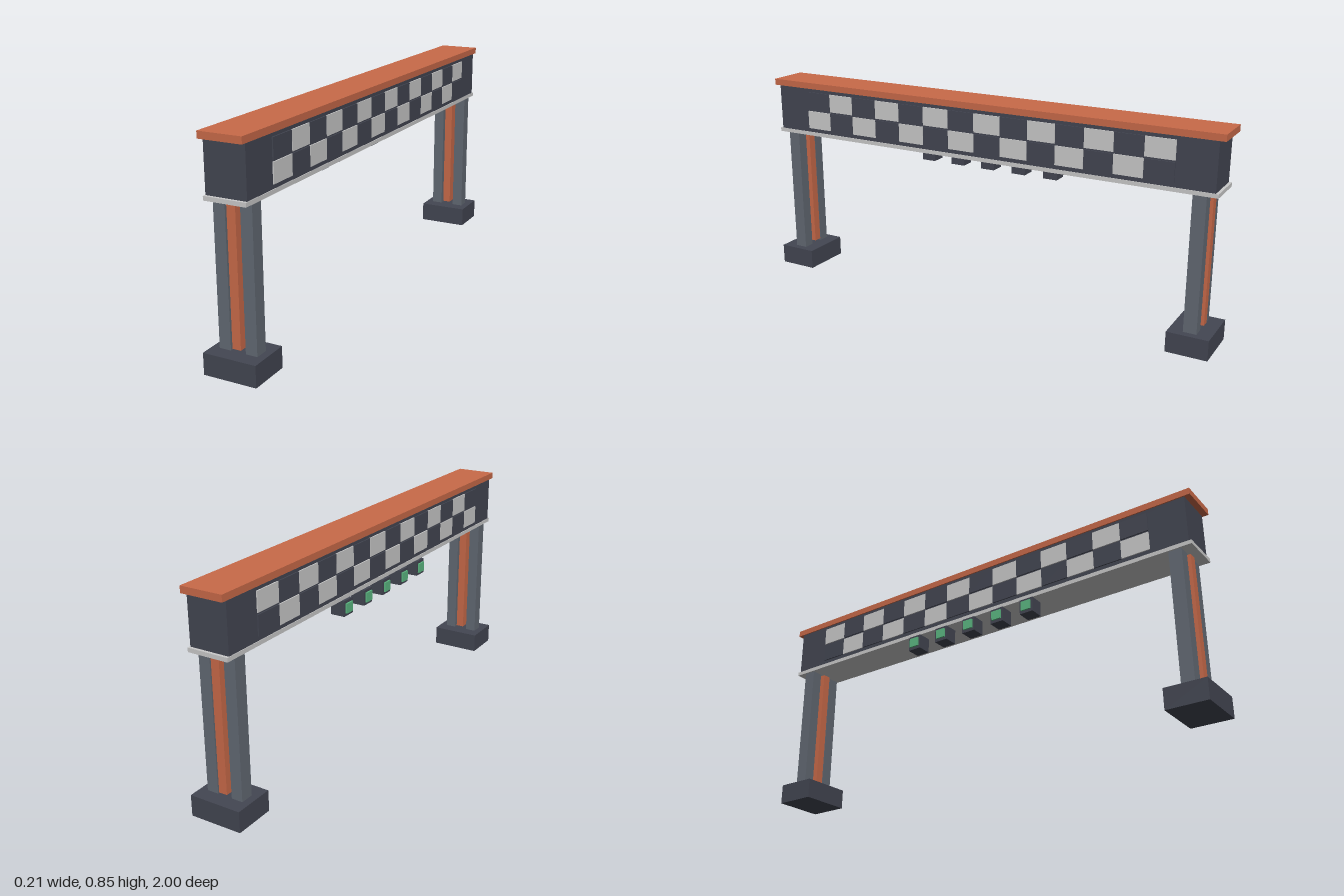
import * as THREE from 'three';

const material = (name, color) => {
  const m = new THREE.MeshStandardMaterial({ color });
  m.name = name;
  return m;
};

export function createModel() {
  const dark = material('charcoal', 0x434652);
  const steel = material('steel grey', 0x626973);
  const orange = material('burnt orange', 0xc96a49);
  const white = material('off white', 0xcacaca);
  const green = material('signal green', 0x5cb882);

  const model = new THREE.Group();
  model.name = 'raceGantry';

  // Box given by its size and centre
  const box = (parent, name, mat, [w, h, d], [x, y, z]) => {
    const mesh = new THREE.Mesh(new THREE.BoxGeometry(w, h, d), mat);
    mesh.name = name;
    mesh.position.set(x, y, z);
    parent.add(mesh);
  };
  const group = (name) => {
    const g = new THREE.Group();
    g.name = name;
    model.add(g);
    return g;
  };

  // Overhead beam with cap and lower trim
  const beam = group('beam');
  box(beam, 'beamBody', dark, [0.16, 0.191, 1.952], [0, 0.7305, 0]);
  box(beam, 'beamCap', orange, [0.17, 0.026, 2], [0, 0.839, 0]);
  box(beam, 'beamTrim', white, [0.165, 0.016, 1.974], [0, 0.627, 0]);

  // Twin-post tower at each end
  for (const side of [1, -1]) {
    const tower = group(side > 0 ? 'frontTower' : 'backTower');
    const z = side * 0.918;
    box(tower, 'foot', dark, [0.21, 0.082, 0.164], [0, 0.041, z]);
    for (const x of [-0.053, 0.053]) {
      box(tower, 'post', steel, [0.046, 0.538, 0.052], [x, 0.351, z]);
    }
    box(tower, 'centreStrip', orange, [0.034, 0.524, 0.07], [0, 0.358, z]);
  }

  // Chequered plates on both long sides
  const columns = 14, pitch = 0.1178;
  for (const side of [1, -1]) {
    const panel = group(side > 0 ? 'leftCheckers' : 'rightCheckers');
    for (let c = 0; c < columns; c++) {
      for (let r = 0; r < 2; r++) {
        const z = ((columns - 1) / 2 - c) * pitch;
        box(panel, 'checkerPlate', (c + r) % 2 ? dark : white,
          [0.005, 0.076, 0.1165], [side * 0.0822, 0.69 + r * 0.083, z]);
      }
    }
  }

  // Row of start lights facing -x
  const lights = group('startLights');
  for (let i = -2; i <= 2; i++) {
    const z = i * 0.1415;
    box(lights, 'lightHousing', dark, [0.06, 0.062, 0.06], [-0.06, 0.585, z]);
    box(lights, 'lightLens', green, [0.008, 0.039, 0.042], [-0.093, 0.585, z]);
  }

  return model;
}
